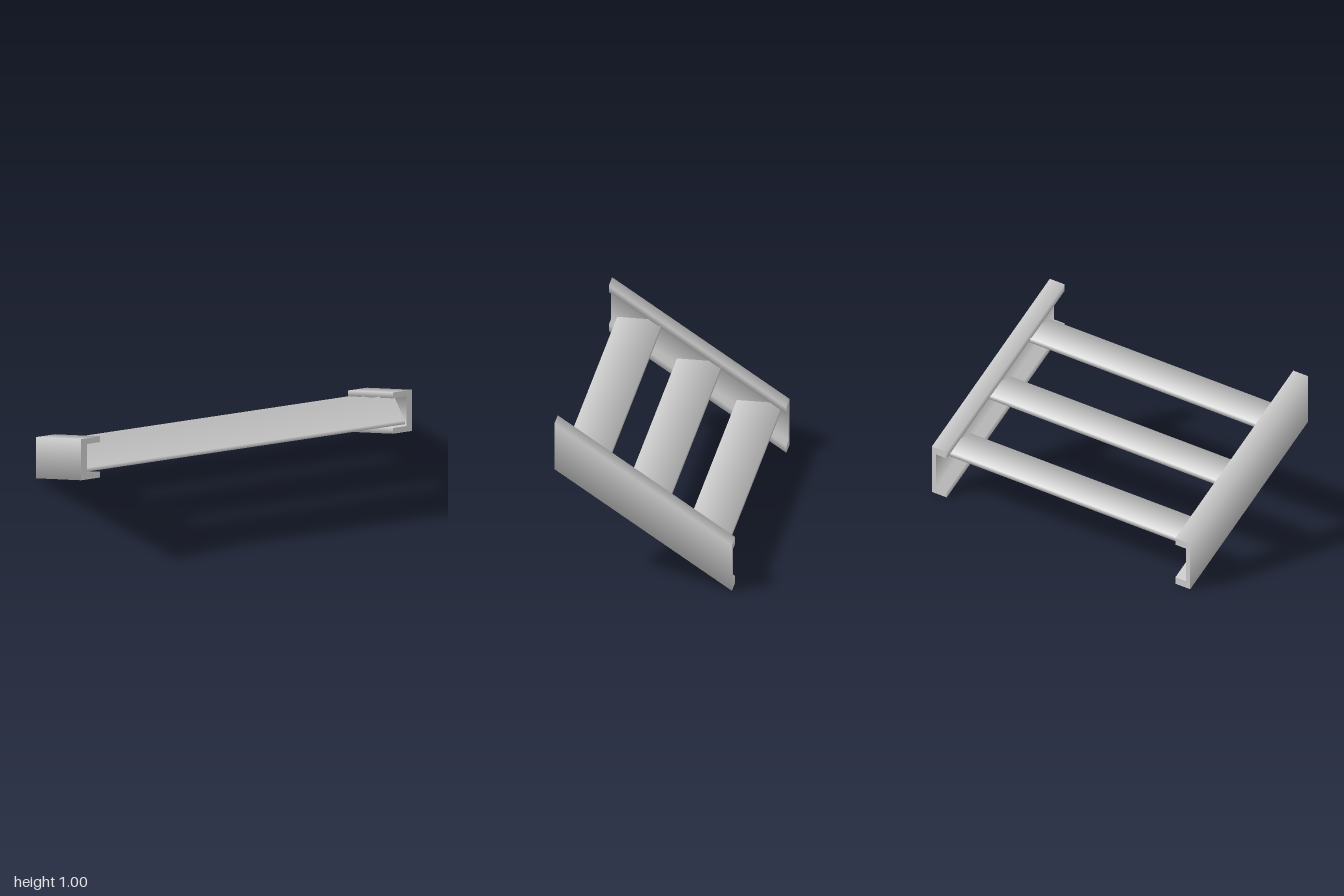
import * as THREE from 'three';

const HALF_DEPTH = 0.527;
const SLOPE = 0.705 / (2 * HALF_DEPTH); // rise of the flight towards +z

// Blend the normals around the profile of an extrusion, leaving its end caps flat
function smoothSides(geo) {
  geo.computeVertexNormals();
  const pos = geo.attributes.position, nor = geo.attributes.normal;
  const { start, count } = geo.groups[1];
  const key = (a, i) => [a.getX(i), a.getY(i), a.getZ(i)].map(v => v.toFixed(3)).join();
  const faces = new Map();
  for (let i = start; i < start + count; i++) {
    const k = key(pos, i);
    if (!faces.has(k)) faces.set(k, new Map());
    faces.get(k).set(key(nor, i), new THREE.Vector3().fromBufferAttribute(nor, i));
  }
  for (let i = start; i < start + count; i++) {
    const n = new THREE.Vector3();
    faces.get(key(pos, i)).forEach(f => n.add(f));
    n.normalize();
    nor.setXYZ(i, n.x, n.y, n.z);
  }
  return geo;
}

// Extrude a profile along z, centred on the origin
function prism(points, length) {
  const shape = new THREE.Shape(points.map(([x, y]) => new THREE.Vector2(x, y)));
  return new THREE.ExtrudeGeometry(shape, { depth: length, bevelEnabled: false })
    .translate(0, 0, -length / 2);
}

export function createModel() {
  const group = new THREE.Group();
  const material = new THREE.MeshStandardMaterial({ color: 0xcccccc });
  const add = (name, geo) => {
    const mesh = new THREE.Mesh(smoothSides(geo), material);
    mesh.name = name;
    group.add(mesh);
    return mesh;
  };

  // Sloping C-channel stringers, open towards the middle, with plumb-cut ends
  const outer = 1, web = 0.966, lip = 0.885, h = 0.1475, inner = 0.106;
  const channel = [
    [outer, -h], [outer, h], [lip, h], [lip, inner],
    [web, inner], [web, -inner], [lip, -inner], [lip, -h],
  ];
  const shear = new THREE.Matrix4().set(
    1, 0, 0, 0,
    0, 1, SLOPE, 0.5,
    0, 0, 1, 0,
    0, 0, 0, 1);
  for (const [name, side] of [['leftStringer', 1], ['rightStringer', -1]]) {
    const profile = channel.map(([x, y]) => [x * side, y]);
    add(name, prism(profile, 2 * HALF_DEPTH).applyMatrix4(shear));
  }

  // Flat treads spanning between the channel webs
  const d = 0.136, t = 0.0135;
  const plank = [[-d, -t], [d, -t], [d, t], [-d, t]];
  ['lowerTread', 'middleTread', 'upperTread'].forEach((name, i) => {
    const tread = add(name, prism(plank, 2 * web).rotateY(Math.PI / 2));
    tread.position.set(0, 0.507 + (i - 1) * 0.241, (i - 1) * 0.355);
  });

  return group;
}
